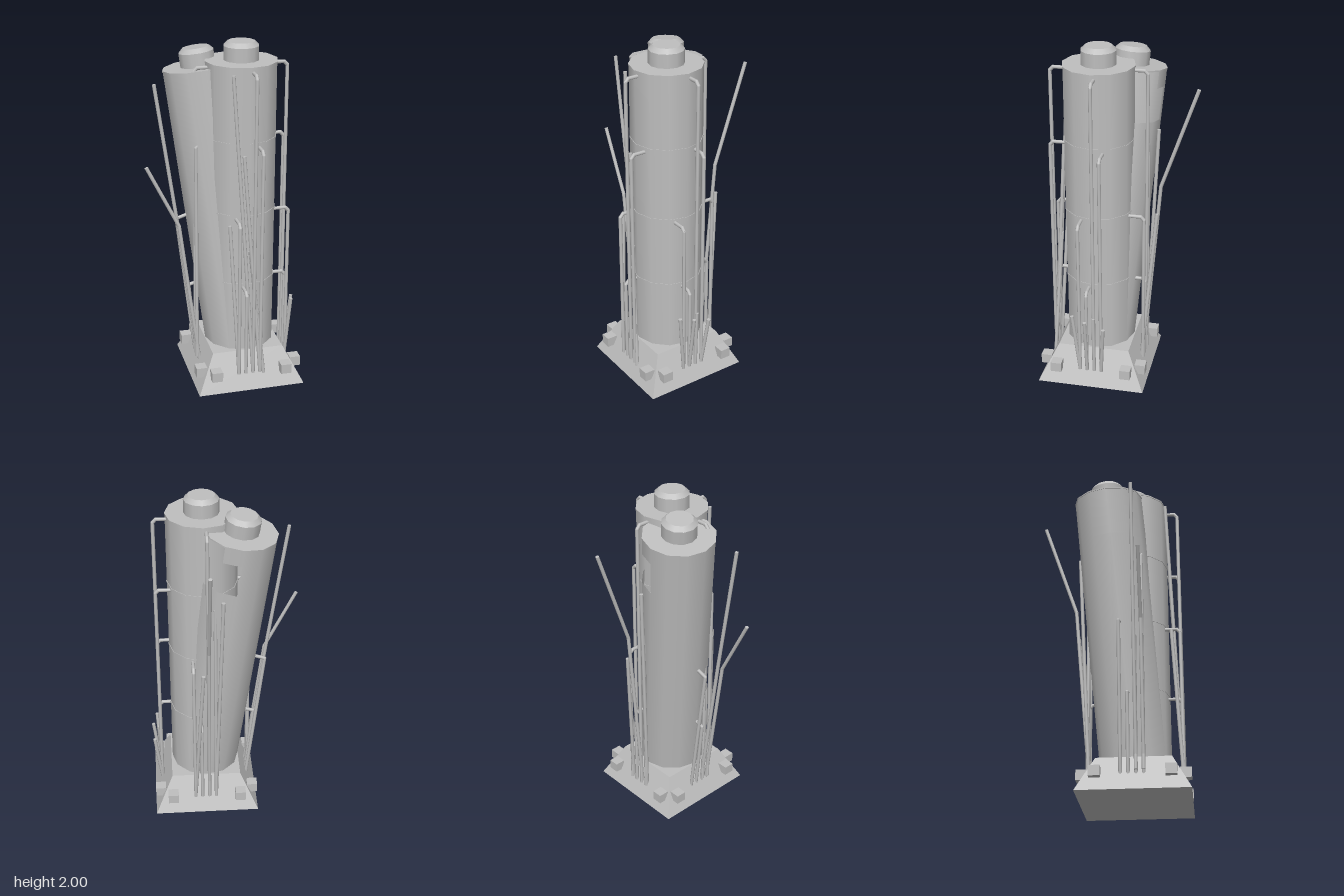
import * as THREE from 'three';

const CX = 0.115, CZ = 0.12, R = 0.202;
const SIDES = 12, PIPE_R = 0.0105;

export function createModel() {
  const model = new THREE.Group();
  const grey = new THREE.MeshStandardMaterial({ color: 0xbebebe, side: THREE.DoubleSide });
  grey.name = 'concreteGrey';

  const add = (parent, name, geometry, x = 0, y = 0, z = 0) => {
    const mesh = new THREE.Mesh(geometry, grey);
    mesh.name = name;
    mesh.position.set(x, y, z);
    parent.add(mesh);
    return mesh;
  };

  // Everything sits around the axis of the upright column
  const body = new THREE.Group();
  body.name = 'towers';
  body.position.set(CX, 0, CZ);
  model.add(body);

  // Sloped square base
  const base = new THREE.CylinderGeometry(0.21 * Math.SQRT2, 0.315 * Math.SQRT2, 0.21, 4, 1)
    .rotateY(Math.PI / 4).toNonIndexed();
  base.computeVertexNormals();
  add(body, 'base', base, 0, 0.105, 0);

  // Lid with a bevelled cap on top
  const addCap = (parent, y) => {
    add(parent, 'lid', new THREE.CylinderGeometry(R + 0.003, R + 0.003, 0.008, SIDES), 0, y - 0.004, 0);
    add(parent, 'capDrum', new THREE.CylinderGeometry(0.1, 0.1, 0.078, SIDES), 0, y + 0.039, 0);
    add(parent, 'capBevel', new THREE.CylinderGeometry(0.076, 0.1, 0.024, SIDES), 0, y + 0.09, 0);
  };

  // Upright column with seam rings
  add(body, 'uprightColumn', new THREE.CylinderGeometry(R, R, 1.69, SIDES), 0, 1.053, 0);
  addCap(body, 1.898);
  for (const y of [0.63, 1.05, 1.472]) {
    add(body, 'seamRing', new THREE.CylinderGeometry(R + 0.003, R + 0.003, 0.007, SIDES), 0, y, 0);
  }

  // Leaning column, with part of its upper wall missing
  const leaning = new THREE.Group();
  leaning.name = 'leaningColumn';
  const axis = new THREE.Vector3(-0.21, 1.665, -0.14);
  const length = axis.length();
  leaning.position.set(0, 0.18, 0);
  leaning.quaternion.setFromUnitVectors(new THREE.Vector3(0, 1, 0), axis.normalize());
  body.add(leaning);
  const wall = (y0, y1, gapStart, gapFacets) => {
    const step = Math.PI * 2 / SIDES, n = SIDES - gapFacets;
    add(leaning, 'leaningWall', new THREE.CylinderGeometry(R, R, y1 - y0, n, 1, true,
      (gapStart + gapFacets) * step, n * step), 0, (y0 + y1) / 2, 0);
  };
  wall(0, 1.39, 0, 0);
  wall(1.39, 1.58, 3, 3);
  wall(1.58, length, 3, 2);
  addCap(leaning, length);

  // Straight pipe runs through points, with round elbows at the joints
  const up = new THREE.Vector3(0, 1, 0);
  const addPipe = (parent, name, points) => {
    const p = points.map(a => new THREE.Vector3(...a));
    for (let i = 0; i < p.length - 1; i++) {
      const d = p[i + 1].clone().sub(p[i]);
      const m = add(parent, name, new THREE.CylinderGeometry(PIPE_R, PIPE_R, d.length(), 8));
      m.position.copy(p[i]).addScaledVector(d, 0.5);
      m.quaternion.setFromUnitVectors(up, d.normalize());
      if (i > 0) add(parent, 'pipeElbow', new THREE.SphereGeometry(PIPE_R, 8, 6), p[i].x, p[i].y, p[i].z);
    }
  };

  // Each side, in local terms: u across, y up, w outward
  const offsets = [-0.069, -0.027, 0.016, 0.058];
  const heights = [1.03, 0.607, 1.867, 1.445];
  const OUT = 0.27;
  const broken = [
    // front: pipes slumped against the wall
    [[[-0.069, 0.09, OUT], [-0.115, 1.01, 0.22]],
     [[0.016, 0.09, OUT], [-0.095, 1.86, 0.2]],
     [[0.058, 0.09, OUT], [-0.035, 1.41, 0.215]],
     [[0.08, 0.08, OUT], [0.0, 0.85, 0.23]]],
    // left: short stumps
    [[[-0.069, 0.09, OUT], [-0.107, 0.46, 0.29]],
     [[-0.027, 0.09, OUT], [-0.027, 0.44, 0.315]],
     [[0.016, 0.09, OUT], [0.016, 0.45, 0.28]],
     [[0.058, 0.09, OUT], [0.08, 0.4, 0.31]]],
    // back: pipes pushed outward
    [[[0.016, 0.09, OUT - 0.01], [0.016, 1.19, 0.35], [0.016, 1.78, 0.55]],
     [[-0.069, 0.09, OUT - 0.01], [-0.015, 1.03, 0.335]],
     [[0.058, 0.09, OUT - 0.01], [0.1, 1.5, 0.32]]],
    // right: pipes pushed outward, two still fixed to the wall
    [[[0.016, 0.09, 0.255], [0.016, 1.0, 0.375], [0.016, 1.79, 0.49]],
     [[0.058, 0.09, 0.255], [0.058, 0.97, 0.37], [0.058, 1.335, 0.55]],
     [[-0.069, 0.09, 0.255], [-0.069, 0.965, 0.36], [-0.069, 0.985, 0.3]],
     [[-0.027, 0.09, 0.255], [-0.027, 0.555, 0.3], [-0.027, 0.57, 0.25]]],
  ];
  ['front', 'left', 'back', 'right'].forEach((name, side) => {
    const group = new THREE.Group();
    group.name = name + 'Side';
    group.rotation.y = side * Math.PI / 2;
    body.add(group);

    // Wall pipes turning into the column at the top
    offsets.forEach((u, i) => {
      const h = heights[i];
      // Pipes torn away on the right keep only their upper ends
      if (side === 3 && i < 2) return;
      const low = side === 3 ? 0.12 : 0.09;
      addPipe(group, 'wallPipe', [[u, low, OUT], [u, h - 0.02, OUT], [u, h, OUT - 0.018], [u, h, 0.18]]);
    });
    broken[side].forEach(points => addPipe(group, 'brokenPipe', points));

    // Anchor blocks near the base corners
    for (const s of [-1, 1]) {
      add(group, 'anchorBlock', new THREE.BoxGeometry(0.063, 0.058, 0.063), s * 0.207, 0.108, 0.283);
    }
  });

  return model;
}
